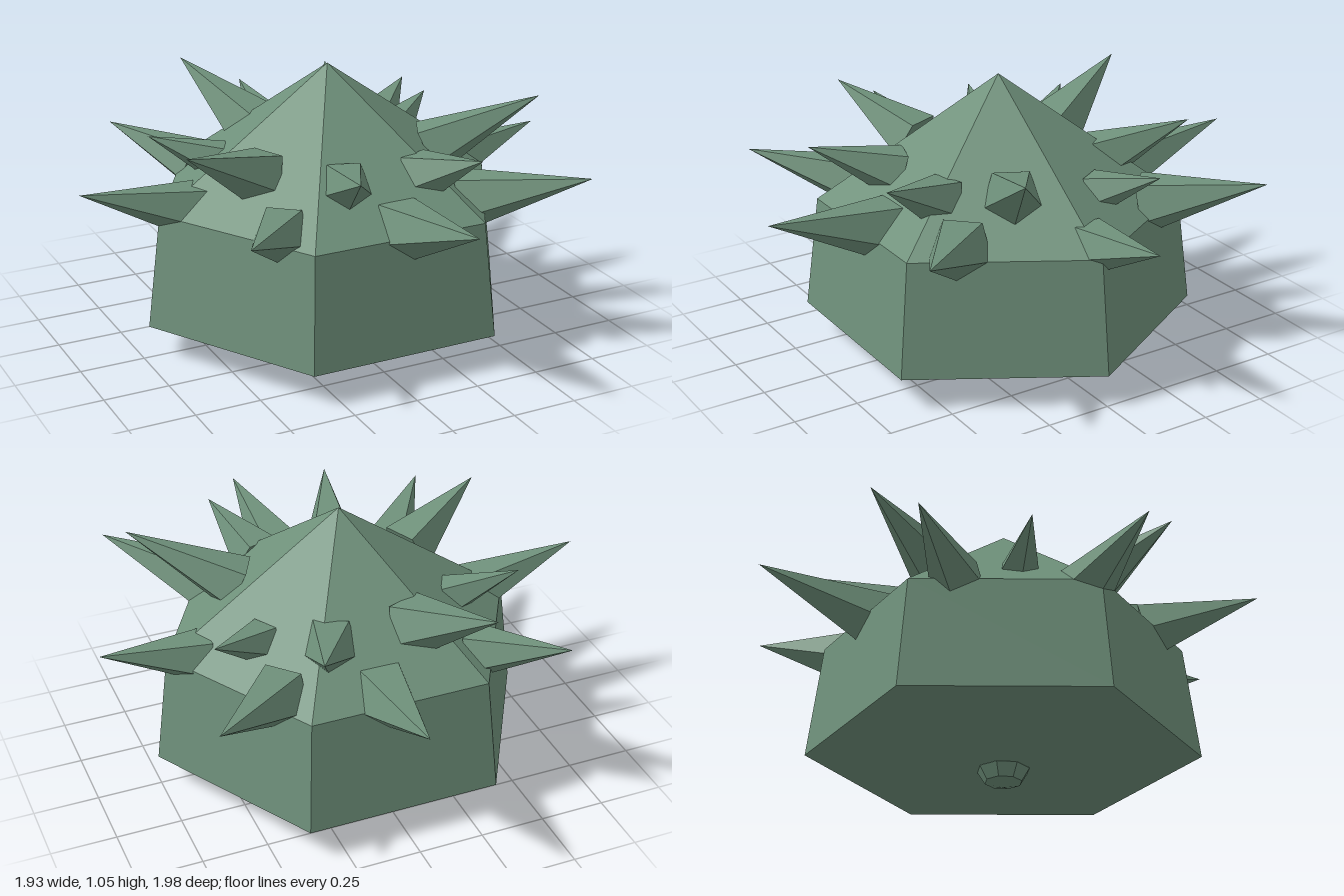
import * as THREE from 'three';

const V = (x, y, z) => new THREE.Vector3(x, y, z);

export function createModel() {
  const group = new THREE.Group();
  const green = new THREE.MeshStandardMaterial({ color: 0x6f917b, flatShading: true });
  green.name = 'sage green';

  const add = (name, geometry) => {
    const mesh = new THREE.Mesh(geometry, green);
    mesh.name = name;
    group.add(mesh);
    return mesh;
  };

  // Six-sided shell: shallow underside, tapering wall, pointed roof
  const profile = [[0, 0.06], [0.74, 0.125], [0.685, 0.56], [0, 1.05]]
    .map(([r, y]) => new THREE.Vector2(r, y));
  add('shell', new THREE.LatheGeometry(profile, 6, Math.PI / 2)).position.x = 0.015;

  // Small faceted knob under the shell
  const knob = add('bottomKnob', new THREE.SphereGeometry(0.1, 8, 4));
  knob.scale.y = 0.68;
  knob.position.set(0.015, 0.068, 0);

  // Five-sided spike from its base centre to its tip, one edge facing down
  const spike = (name, [bx, by, bz, tx, ty, tz, radius]) => {
    const base = V(bx, by, bz), tip = V(tx, ty, tz);
    const axis = tip.clone().sub(base);
    const length = axis.length();
    axis.normalize();
    const side = V(0, -1, 0).cross(axis).negate().normalize();
    const down = side.clone().cross(axis);
    const mesh = add(name, new THREE.ConeGeometry(radius, length, 5));
    mesh.quaternion.setFromRotationMatrix(new THREE.Matrix4().makeBasis(side, axis, down));
    mesh.position.copy(base).lerp(tip, 0.5);
  };

  // Lower ring around the shoulder: base xyz, tip xyz, radius
  [
    [-0.52, 0.56, 0, -0.97, 0.69, 0, 0.115],
    [0.57, 0.56, -0.03, 0.96, 0.665, -0.05, 0.105],
    [0.055, 0.56, -0.5, 0.09, 0.70, -0.99, 0.125],
    [0.055, 0.56, 0.5, 0.09, 0.695, 0.99, 0.125],
    [-0.36, 0.58, -0.41, -0.60, 0.70, -0.70, 0.105],
    [0.40, 0.58, -0.40, 0.73, 0.70, -0.71, 0.12],
    [-0.36, 0.58, 0.40, -0.63, 0.69, 0.73, 0.11],
    [0.39, 0.58, 0.39, 0.73, 0.71, 0.715, 0.12],
  ].forEach((s) => spike('lowerSpike', s));

  // Upper ring on the roof
  [
    [-0.13, 0.71, -0.34, -0.28, 0.915, -0.73, 0.12],
    [0.185, 0.70, -0.34, 0.33, 0.84, -0.65, 0.11],
    [-0.36, 0.67, -0.16, -0.61, 0.78, -0.25, 0.085],
    [0.39, 0.67, -0.18, 0.61, 0.77, -0.31, 0.085],
    [-0.33, 0.71, 0.16, -0.68, 0.88, 0.31, 0.115],
    [0.36, 0.71, 0.16, 0.73, 0.92, 0.345, 0.115],
    [-0.10, 0.70, 0.37, -0.20, 0.83, 0.685, 0.105],
    [0.21, 0.69, 0.36, 0.31, 0.82, 0.64, 0.105],
  ].forEach((s) => spike('upperSpike', s));

  return group;
}
